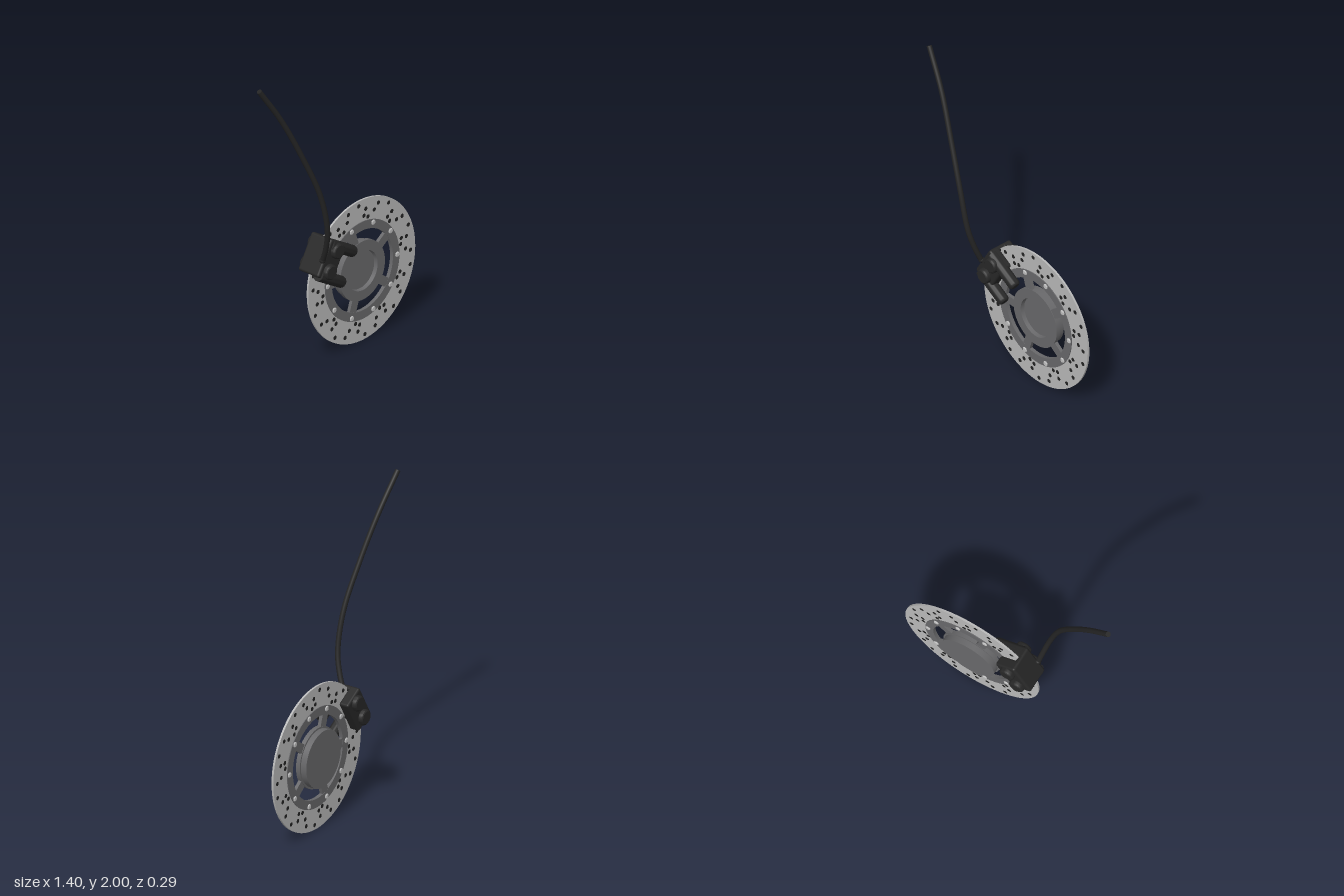
import * as THREE from 'three';
import { RoundedBoxGeometry } from 'three/addons/geometries/RoundedBoxGeometry.js';
import { toCreasedNormals } from 'three/addons/utils/BufferGeometryUtils.js';

const material = (name, color) => Object.assign(new THREE.MeshStandardMaterial({ color }), { name });

export function createModel() {
  const steel = material('brushed steel', 0xb8b8b8);
  const grey = material('carrier grey', 0x68686a);
  const silver = material('rivet silver', 0xc0c0c0);
  const black = material('caliper black', 0x272727);
  const rubber = material('hose rubber', 0x242424);
  const holeDark = material('hole dark', 0x222222);

  const add = (parent, name, geometry, mat, x = 0, y = 0, z = 0) => {
    const mesh = new THREE.Mesh(geometry, mat);
    mesh.name = name;
    mesh.position.set(x, y, z);
    parent.add(mesh);
    return mesh;
  };
  // Flat ring lying in the xy plane, centred on z = 0
  const ring = (outer, inner, depth) => {
    const shape = new THREE.Shape().absarc(0, 0, outer, 0, Math.PI * 2);
    shape.holes.push(new THREE.Path().absarc(0, 0, inner, 0, Math.PI * 2, true));
    const g = new THREE.ExtrudeGeometry(shape, { depth, bevelEnabled: false, curveSegments: 64 });
    return toCreasedNormals(g.translate(0, 0, -depth / 2), 0.6);
  };
  // Solid of revolution about z from [radius, z] pairs
  const turned = (points, segments = 48) => {
    const g = new THREE.LatheGeometry(points.map(([r, z]) => new THREE.Vector2(r, z)), segments);
    return toCreasedNormals(g.rotateX(Math.PI / 2), 0.6);
  };

  const model = new THREE.Group();
  model.name = 'discBrake';

  // Rotor assembly
  const rotor = new THREE.Group();
  rotor.name = 'rotor';
  rotor.position.set(0.235, 0.466, -0.031);
  model.add(rotor);
  add(rotor, 'brakeDisc', ring(0.465, 0.29, 0.013), steel);
  add(rotor, 'carrierRing', ring(0.322, 0.265, 0.024), grey);

  // Hub with a shallow front recess and a raised rear boss
  add(rotor, 'hub', turned([
    [0, -0.053], [0.183, -0.053], [0.183, -0.014], [0.194, -0.014],
    [0.194, 0.014], [0.13, 0.014], [0.127, -0.012], [0, -0.012],
  ], 64), grey);

  // Five spokes joining hub and ring
  for (let i = 0; i < 5; i++) {
    const a = Math.PI + (i * Math.PI * 2) / 5;
    const spoke = add(rotor, 'spoke', new THREE.BoxGeometry(0.11, 0.058, 0.022), grey,
      Math.cos(a) * 0.228, Math.sin(a) * 0.228, 0);
    spoke.rotation.z = a;
  }

  // Rivets around the carrier and drilled holes in ten repeating groups
  const rivet = turned([[0, -0.019], [0.012, -0.019], [0.017, -0.015],
    [0.017, 0.015], [0.012, 0.019], [0, 0.019]], 16);
  const hole = new THREE.CylinderGeometry(0.0135, 0.0135, 0.0145, 14).rotateX(Math.PI / 2);
  const pattern = [[0.355, -93], [0.397, -95], [0.434, -86.5], [0.423, -74], [0.38, -70.6], [0.342, -63]];
  for (let i = 0; i < 10; i++) {
    const a = (i * Math.PI) / 5;
    add(rotor, 'rivet', rivet, silver, Math.cos(a) * 0.302, Math.sin(a) * 0.302, 0);
    for (const [r, deg] of pattern) {
      const t = a + THREE.MathUtils.degToRad(deg);
      add(rotor, 'drilledHole', hole, holeDark, Math.cos(t) * r, Math.sin(t) * r, 0);
    }
  }

  // Caliper: local x points toward the hub, local y along the disc edge
  const caliper = new THREE.Group();
  caliper.name = 'caliper';
  caliper.position.set(-0.1, 0.672, 0);
  caliper.rotation.z = -Math.PI / 6;
  model.add(caliper);
  const block = (name, w, h, d, x, z) =>
    add(caliper, name, new RoundedBoxGeometry(w, h, d, 3, 0.014), black, x, 0, z);
  block('frontCaliperHalf', 0.15, 0.245, 0.071, 0, 0.0165);
  block('rearCaliperHalf', 0.15, 0.245, 0.069, 0, -0.0835);
  block('caliperBridge', 0.034, 0.243, 0.168, -0.059, -0.033);

  // Rounded piston caps on both faces
  const cap = turned([[0, -0.02], [0.049, -0.02], [0.049, 0.007], [0.046, 0.015],
    [0.039, 0.02], [0, 0.02]], 32);
  for (const y of [-0.067, 0.067]) {
    add(caliper, 'frontPistonCap', cap, black, 0, y, 0.062);
    add(caliper, 'rearPistonCap', cap, black, 0, y, -0.126).rotation.x = Math.PI;
  }

  // Slide pins on the front half, reaching toward the hub
  const pin = turned([[0, -0.05], [0.037, -0.05], [0.037, 0.174], [0.034, 0.184],
    [0.026, 0.191], [0, 0.191]], 28).rotateY(Math.PI / 2);
  add(caliper, 'upperSlidePin', pin, black, 0, 0.088, 0.028);
  add(caliper, 'lowerSlidePin', pin, black, 0, -0.108, 0.028);

  // Hydraulic hose with closed ends
  const path = new THREE.CatmullRomCurve3([
    [-0.18, 0.71, 0.05], [-0.192, 0.8, 0.085], [-0.217, 0.945, 0.12], [-0.28, 1.19, 0.122],
    [-0.40, 1.475, 0.088], [-0.535, 1.75, 0.045], [-0.69, 1.99, 0.007],
  ].map((p) => new THREE.Vector3(...p)));
  add(model, 'brakeHose', new THREE.TubeGeometry(path, 64, 0.0165, 16), rubber);
  for (const t of [0, 1]) {
    const end = path.getPointAt(t);
    const dir = path.getTangentAt(t).multiplyScalar(t ? 1 : -1);
    const disc = add(model, 'hoseEnd', new THREE.CircleGeometry(0.0165, 16), rubber, end.x, end.y, end.z);
    disc.quaternion.setFromUnitVectors(new THREE.Vector3(0, 0, 1), dir);
  }
  // Fitting that joins the hose to the caliper
  add(model, 'hoseFitting', new THREE.SphereGeometry(0.019, 16, 12), rubber, -0.178, 0.7, 0.044);

  return model;
}
